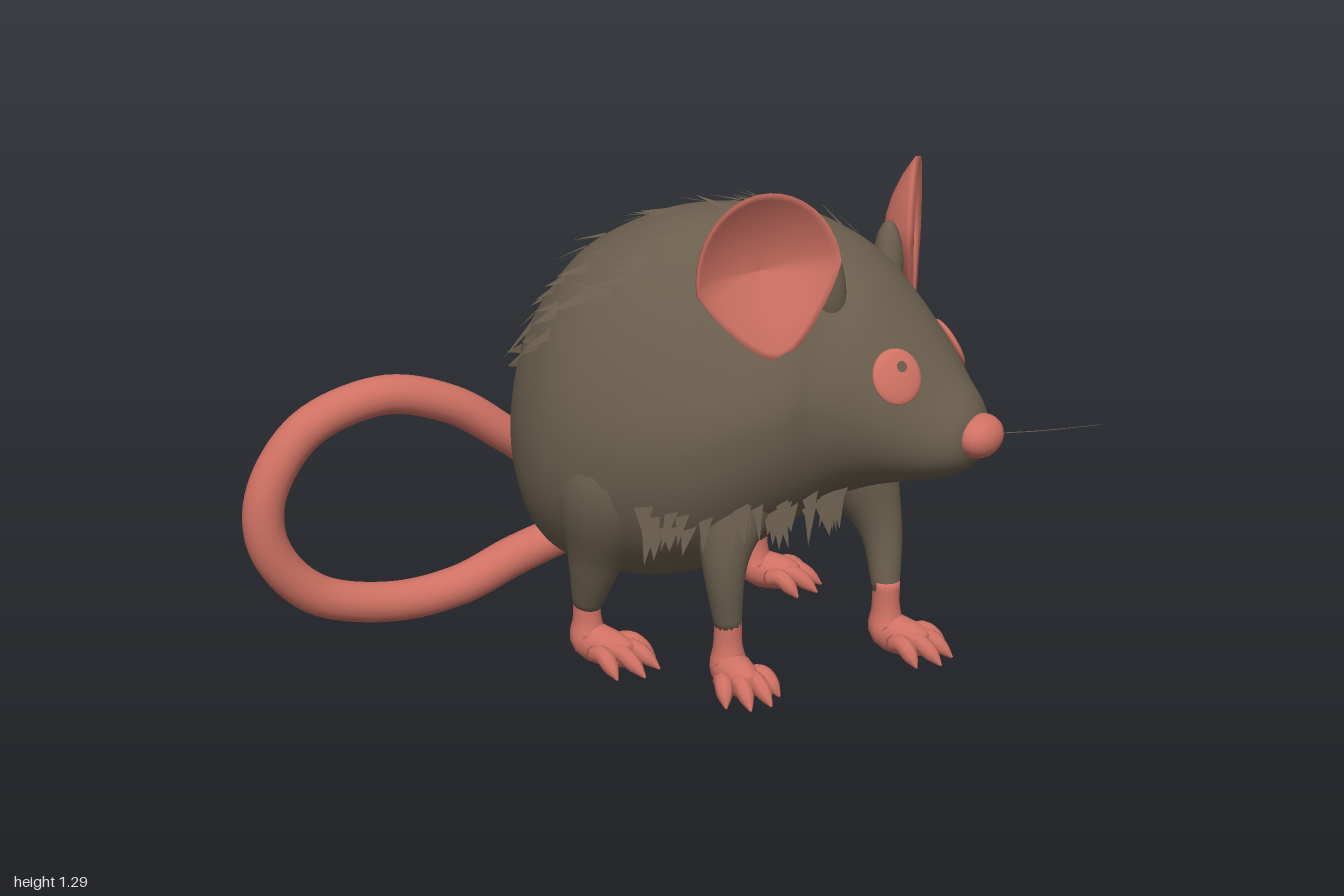
import * as THREE from 'three';

const V = (x, y, z) => new THREE.Vector3(x, y, z);
const fur = new THREE.MeshStandardMaterial({ color: 0x6a5e4d, side: THREE.DoubleSide });
fur.name = 'brown fur';
const skinPink = new THREE.MeshStandardMaterial({ color: 0xcf7163 });
skinPink.name = 'pink skin';

let seed = 7;
const rand = (a, b) => {
  seed = (seed * 16807) % 2147483647;
  return a + (b - a) * seed / 2147483647;
};

function mesh(name, geometry, material, parent) {
  const m = new THREE.Mesh(geometry, material);
  m.name = name;
  parent.add(m);
  return m;
}

// Closed surface through a list of equal rings of points
function skin(rings) {
  const n = rings[0].length, index = [];
  for (let i = 0; i < rings.length - 1; i++) {
    for (let j = 0; j < n; j++) {
      const a = i * n + j, b = i * n + (j + 1) % n;
      index.push(a, b, a + n, b, b + n, a + n);
    }
  }
  const g = new THREE.BufferGeometry().setFromPoints(rings.flat());
  g.setIndex(index);
  g.computeVertexNormals();
  return g;
}

// Round tube with a changing radius; each point is [x, y, z, radius]
function taperTube(points, steps = 16, sides = 14) {
  const path = new THREE.CatmullRomCurve3(points.map(p => V(p[0], p[1], p[2])), false, 'catmullrom', 0.5);
  const size = new THREE.CatmullRomCurve3(points.map(p => V(p[3], 0, 0)), false, 'catmullrom', 0.5);
  const rings = [];
  let normal = Math.abs(path.getTangent(0).z) < 0.8 ? V(0, 0, 1) : V(1, 0, 0);
  for (let i = 0; i <= steps; i++) {
    const u = i / steps, c = path.getPoint(u), t = path.getTangent(u), r = Math.max(size.getPoint(u).x, 0.0005);
    normal = normal.clone().addScaledVector(t, -normal.dot(t)).normalize();
    const b = t.clone().cross(normal);
    const ring = k => Array.from({ length: sides }, (_, j) => {
      const a = j / sides * Math.PI * 2;
      return c.clone().addScaledVector(normal, Math.cos(a) * k).addScaledVector(b, Math.sin(a) * k);
    });
    if (i === 0) rings.push(ring(0));
    rings.push(ring(r));
    if (i === steps) rings.push(ring(0));
  }
  return skin(rings);
}

// Body stations from rump to muzzle: x, z, bottom, top, half width
const stations = [
  [-0.23, -0.41, 0.58, 0.62, 0], [-0.212, -0.392, 0.41, 0.8, 0.155], [-0.166, -0.35, 0.285, 0.93, 0.26],
  [-0.085, -0.275, 0.22, 1.06, 0.345], [0.05, -0.15, 0.2, 1.155, 0.395], [0.187, -0.037, 0.25, 1.185, 0.405],
  [0.31, 0.07, 0.36, 1.175, 0.372], [0.397, 0.153, 0.44, 1.13, 0.322], [0.468, 0.242, 0.49, 1.05, 0.26],
  [0.53, 0.33, 0.52, 0.925, 0.207], [0.572, 0.4, 0.54, 0.815, 0.147], [0.6, 0.455, 0.575, 0.74, 0.09],
  [0.615, 0.485, 0.65, 0.66, 0.01]
];
const LAST = stations.length - 1;
const spine = new THREE.CatmullRomCurve3(stations.map(s => V(s[0], (s[2] + s[3]) / 2, s[1])), false, 'catmullrom', 0.5);
const girth = new THREE.CatmullRomCurve3(stations.map(s => V(s[4], (s[3] - s[2]) / 2, 0)), false, 'catmullrom', 0.5);

// Point on the body: k is the station number, angle 0 is left and PI / 2 is up.
// The neck is turned, so the upper right shoulder is slimmer than the left.
function onBody(k, angle) {
  const c = spine.getPoint(k / LAST), t = spine.getTangent(k / LAST).setY(0).normalize();
  const g = girth.getPoint(k / LAST), up = Math.sin(angle), out = Math.cos(angle);
  const turn = THREE.MathUtils.smoothstep(k, 3, 5) * (1 - THREE.MathUtils.smoothstep(k, 7, 8.5));
  const slim = 0.12 + turn * (out < 0 ? 0.24 : -0.06) * Math.abs(out);
  const w = out * g.x * (1 - slim * Math.max(0, up) + 0.12 * Math.max(0, -up));
  return V(c.x + t.z * w, c.y + up * g.y, c.z - t.x * w);
}
function bodyFrame(k, angle) {
  const p = onBody(k, angle);
  const along = onBody(k + 0.05, angle).sub(p).normalize();
  const across = onBody(k, angle + 0.03).sub(p).normalize();
  return { p, along, across, normal: across.clone().cross(along).normalize() };
}

// Loose tufts on the back and a ragged fringe under the flanks
function tuftGeometry() {
  const pts = [];
  const blade = (p, side, dir, len, wide) => pts.push(
    p.clone().addScaledVector(side, -wide), p.clone().addScaledVector(side, wide), p.clone().addScaledVector(dir, len));
  for (let i = 0; i < 150; i++) {
    const f = bodyFrame(rand(1.3, 7.2), Math.PI / 2 + rand(-0.95, 0.95));
    const dir = f.along.clone().negate().addScaledVector(f.normal, rand(0.08, 0.3)).addScaledVector(f.across, rand(-0.5, 0.5));
    blade(f.p.addScaledVector(f.normal, 0.002), f.across, dir, rand(0.05, 0.1), rand(0.01, 0.022));
  }
  for (let i = 0; i < 90; i++) {
    const k = rand(4.2, 7.6), y = rand(0.43, 0.51);
    const c = spine.getPoint(k / LAST), g = girth.getPoint(k / LAST);
    const a = Math.asin(Math.max(-0.95, (y - c.y) / g.y));
    const f = bodyFrame(k, i % 2 ? a : Math.PI - a);
    const dir = V(0, -1, 0).addScaledVector(f.normal, 0.2).addScaledVector(f.along, rand(-0.4, 0.2));
    blade(f.p, f.along, dir, rand(0.04, 0.09), rand(0.012, 0.026));
  }
  const g = new THREE.BufferGeometry().setFromPoints(pts);
  g.computeVertexNormals();
  return g;
}

// Cupped ear shell, opening towards +z, narrower and flatter at the bottom
function earGeometry(w, h, depth) {
  const steps = [0, 0.25, 0.5, 0.75, 0.92, 1];
  const shell = [...steps.map(r => [r, 0.012]), ...steps.reverse().map(r => [r, 0])];
  return skin(shell.map(([r, thick]) => Array.from({ length: 40 }, (_, j) => {
    const a = j / 40 * Math.PI * 2, s = Math.sin(a), low = Math.max(0, -s) * r;
    const cup = depth * (1 - r * r) * (1 - 0.8 * low);
    return V(w * r * Math.cos(a) * (1 - 0.45 * Math.max(0, -s)), h * r * s, -cup - thick);
  })));
}

// Foot with four curled toes, pointing from the ankle along a heading
function foot(name, x, z, yaw, length, parent) {
  const g = new THREE.Group();
  g.name = name;
  g.position.set(x, 0, z);
  g.rotation.y = yaw;
  parent.add(g);
  mesh('ankle', taperTube([[0, 0.2, 0, 0.035], [0, 0.12, 0, 0.038], [0, 0.065, 0.01, 0.052],
    [0, 0.052, length * 0.45, 0.046], [0, 0.045, length * 0.68, 0.03]]), skinPink, g);
  for (let i = 0; i < 4; i++) {
    const a = (i - 1.5) * 0.33, reach = length * (i === 0 || i === 3 ? 0.85 : 1);
    const at = (d, y, r) => [(i - 1.5) * 0.018 + Math.sin(a) * d * 0.7, y, Math.cos(a) * d, r];
    mesh('toe', taperTube([at(length * 0.3, 0.05, 0.022), at(reach * 0.62, 0.06, 0.023),
      at(reach * 0.85, 0.038, 0.02), at(reach * 1.03, 0.014, 0.003)], 10, 8), skinPink, g);
  }
}

export function createModel() {
  const model = new THREE.Group();
  model.name = 'rat';

  // Body and head in one surface
  const rings = [];
  for (let i = 0; i <= 90; i++) {
    const k = (i / 90) ** 1.15 * LAST;
    rings.push(Array.from({ length: 48 }, (_, j) => onBody(k, j / 48 * Math.PI * 2)));
  }
  mesh('body', skin(rings), fur, model);
  mesh('furTufts', tuftGeometry(), fur, model);

  // Nose
  const nose = mesh('nose', new THREE.SphereGeometry(1, 24, 16), skinPink, model);
  nose.position.set(0.615, 0.658, 0.472);
  nose.scale.set(0.075, 0.055, 0.054);
  nose.rotation.y = 0.5;

  // Eyes with a small dark pupil
  for (const [name, angle] of [['leftEye', 0.58], ['rightEye', Math.PI - 0.58]]) {
    const f = bodyFrame(9.05, angle);
    const eye = new THREE.Group();
    eye.name = name;
    eye.position.copy(f.p);
    eye.lookAt(f.p.clone().add(f.normal));
    model.add(eye);
    mesh('eyeball', new THREE.SphereGeometry(1, 24, 16), skinPink, eye).scale.set(0.067, 0.07, 0.015);
    const pupil = mesh('pupil', new THREE.CircleGeometry(0.014, 16), fur, eye);
    pupil.position.set(0.01, 0.022, 0.016);
  }

  // Ears: position, yaw, lean, half width, half height, side of the furry root
  for (const [name, x, y, z, yaw, lean, w, h, s] of [
    ['rightEar', 0.1, 1.09, 0.318, -0.15, 0.14, 0.185, 0.208, 1],
    ['leftEar', 0.698, 1.06, 0.035, 0.93, -0.12, 0.14, 0.2, -1]]) {
    const ear = new THREE.Group();
    ear.name = name;
    ear.position.set(x, y, z);
    ear.rotation.set(0, yaw, lean, 'YXZ');
    model.add(ear);
    mesh('earShell', earGeometry(w, h, 0.075), skinPink, ear);
    const root = mesh('earRoot', new THREE.SphereGeometry(1, 20, 14), fur, ear);
    root.position.set(s * w * 0.9, -0.07, -0.065);
    root.scale.set(0.045, 0.12, 0.04);
  }

  // Legs: upper, middle and ankle points with radius, then foot heading and length
  for (const [name, pts, yaw, length] of [
    ['rightFrontLeg', [[0.14, 0.7, 0.1, 0.08], [0.09, 0.52, 0.17, 0.115], [0.03, 0.35, 0.23, 0.06], [0.038, 0.17, 0.235, 0.034]], 0, 0.17],
    ['leftFrontLeg', [[0.41, 0.72, 0.06, 0.08], [0.465, 0.53, 0.1, 0.12], [0.52, 0.34, 0.17, 0.06], [0.515, 0.17, 0.22, 0.035]], 0.5, 0.18],
    ['rightHindLeg', [[-0.09, 0.75, -0.06, 0.1], [-0.155, 0.52, -0.02, 0.155], [-0.19, 0.3, -0.05, 0.075], [-0.2, 0.16, -0.085, 0.038]], 0.5, 0.2],
    ['leftHindLeg', [[0.25, 0.82, -0.19, 0.12], [0.328, 0.58, -0.25, 0.178], [0.39, 0.3, -0.29, 0.083], [0.425, 0.16, -0.315, 0.038]], 0.85, 0.18]]) {
    mesh(name, taperTube(pts, 24, 22), fur, model);
    const end = pts[3];
    foot(name.replace('Leg', 'Foot'), end[0], end[2], yaw, length, model);
  }

  // Tail curling out to the right and back to the rump
  mesh('tail', taperTube([[-0.08, 0.29, -0.31, 0.05], [-0.27, 0.21, -0.365, 0.053], [-0.43, 0.145, -0.385, 0.053],
    [-0.62, 0.132, -0.395, 0.053], [-0.82, 0.19, -0.4, 0.053], [-0.935, 0.33, -0.403, 0.053],
    [-0.935, 0.49, -0.405, 0.053], [-0.82, 0.64, -0.405, 0.052], [-0.62, 0.697, -0.4, 0.051],
    [-0.44, 0.65, -0.388, 0.05], [-0.3, 0.555, -0.378, 0.048], [-0.23, 0.49, -0.375, 0.04]], 90, 18), skinPink, model);

  // Single fine whisker
  mesh('whisker', taperTube([[0.64, 0.655, 0.46, 0.0015], [0.8, 0.642, 0.475, 0.0015], [1, 0.62, 0.455, 0.0008]], 10, 5), fur, model);

  return model;
}
